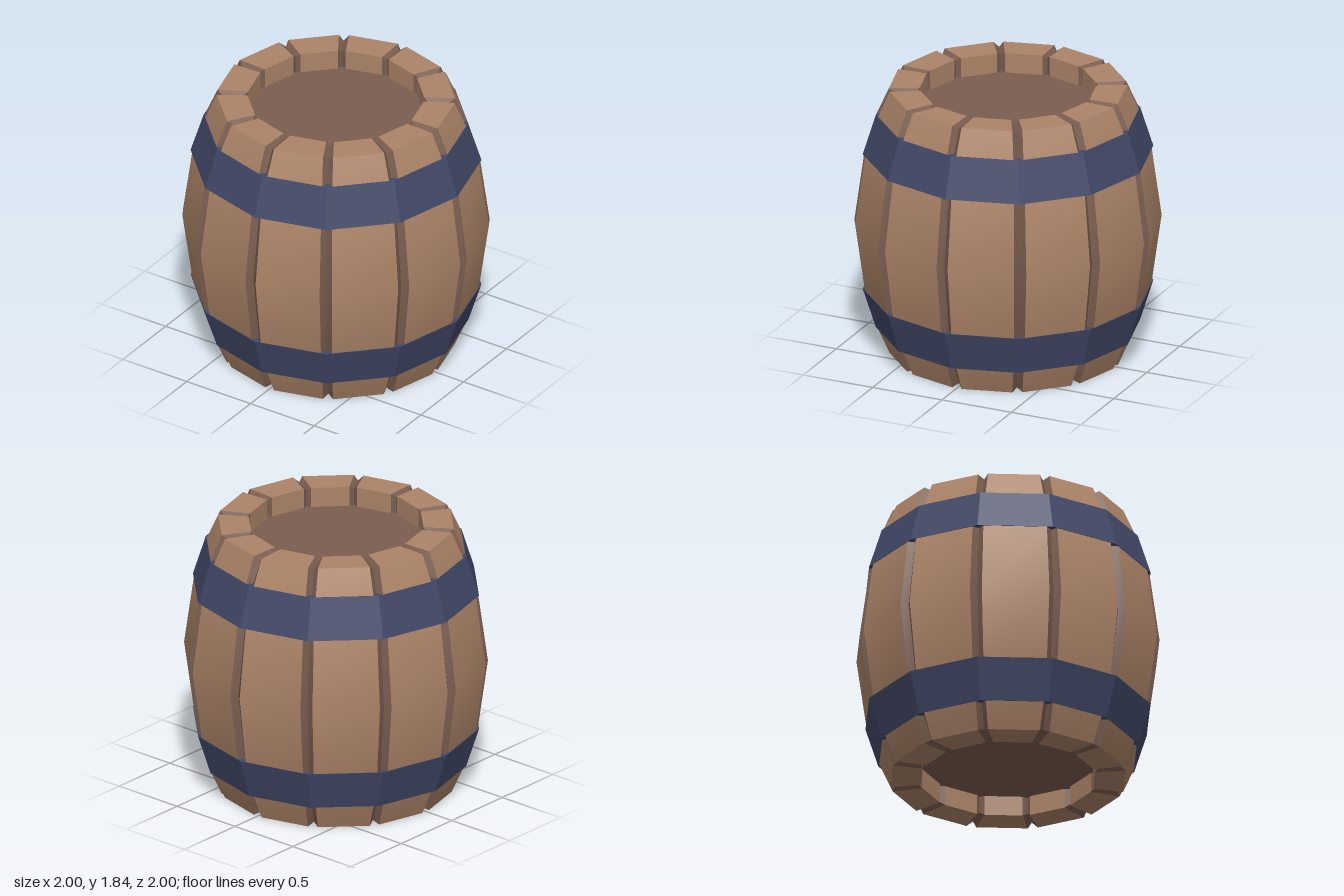
import * as THREE from 'three';
import { toCreasedNormals } from 'three/addons/utils/BufferGeometryUtils.js';

const SIDES = 12;
const STEP = (Math.PI * 2) / SIDES;
const HEIGHT = 1.835;

const mat = (name, color, side = THREE.FrontSide) => {
  const m = new THREE.MeshStandardMaterial({ color, side });
  m.name = name;
  return m;
};

// Closed stave profile: [radius, y, half gap, notch radius shift, notch y shift]
const outer = [
  [0.775, 0, 0.033, -0.035, 0.022],
  [0.85, 0.17, 0.033, -0.035, 0],
  [0.935, 0.445, 0.036, -0.035, 0],
  [1.0, HEIGHT / 2, 0.04, -0.035, 0],
];
const inner = [0.575, HEIGHT, 0.025, 0.025, -0.022];
const flip = ([r, y, g, dr, dy]) => [r, HEIGHT - y, g, dr, -dy];
const profile = [...outer, ...outer.slice(0, 3).reverse().map(flip), inner, flip(inner)];

// Point at radius r along a joint plane, shifted sideways by g
const at = (angle, r, y, g) => [
  Math.sin(angle) * r + Math.cos(angle) * g, y,
  Math.cos(angle) * r - Math.sin(angle) * g,
];

// Joins two closed loops into a band, facing outward when b lies at the larger angle
function band(loops) {
  const pos = [];
  for (const [a, b] of loops) {
    a.forEach((p, i) => {
      const j = (i + 1) % a.length;
      pos.push(...p, ...b[i], ...b[j], ...p, ...b[j], ...a[j]);
    });
  }
  const geo = new THREE.BufferGeometry();
  geo.setAttribute('position', new THREE.Float32BufferAttribute(pos, 3));
  return toCreasedNormals(geo, 0.4);
}

function mesh(name, geometry, material, parent) {
  const m = new THREE.Mesh(geometry, material);
  m.name = name;
  parent.add(m);
  return m;
}

export function createModel() {
  const barrel = new THREE.Group();
  barrel.name = 'barrel';
  const wood = mat('wood', 0xac8468);
  const darkWood = mat('dark wood', 0x7a5d4f);
  const iron = mat('blue iron', 0x424868);

  // Stave: broad faces, with a bevel down to the joint on each side
  const faceA = profile.map(([r, y, g]) => at(0, r, y, g));
  const faceB = profile.map(([r, y, g]) => at(STEP, r, y, -g));
  const jointA = profile.map(([r, y, , dr, dy]) => at(0, r + dr, y + dy, 0));
  const jointB = profile.map(([r, y, , dr, dy]) => at(STEP, r + dr, y + dy, 0));
  const faceGeo = band([[faceA, faceB]]);
  const bevelGeo = band([[jointA, faceA], [faceB, jointB]]);

  for (let i = 0; i < SIDES; i++) {
    const stave = new THREE.Group();
    stave.name = 'stave';
    stave.rotation.y = i * STEP;
    mesh('staveFace', faceGeo, wood, stave);
    mesh('staveBevel', bevelGeo, darkWood, stave);
    barrel.add(stave);
  }

  // Hoops, twelve-sided with corners over the joints
  const hoopLoop = [
    [0.863, 0.172], [0.949, 0.445], [0.9, 0.445], [0.814, 0.172], [0.863, 0.172],
  ];
  const upperLoop = hoopLoop.map(([r, y]) => [r, HEIGHT - y]).reverse();
  for (const [name, loop] of [['lowerHoop', hoopLoop], ['upperHoop', upperLoop]]) {
    const lathe = new THREE.LatheGeometry(loop.map(([r, y]) => new THREE.Vector2(r, y)), SIDES);
    mesh(name, toCreasedNormals(lathe, 0.4), iron, barrel);
  }

  // Recessed heads at both ends
  for (const [name, y] of [['bottomHead', 0.15], ['topHead', HEIGHT - 0.15]]) {
    mesh(name, new THREE.CylinderGeometry(0.61, 0.61, 0.03, SIDES), darkWood, barrel).position.y = y;
  }
  return barrel;
}
